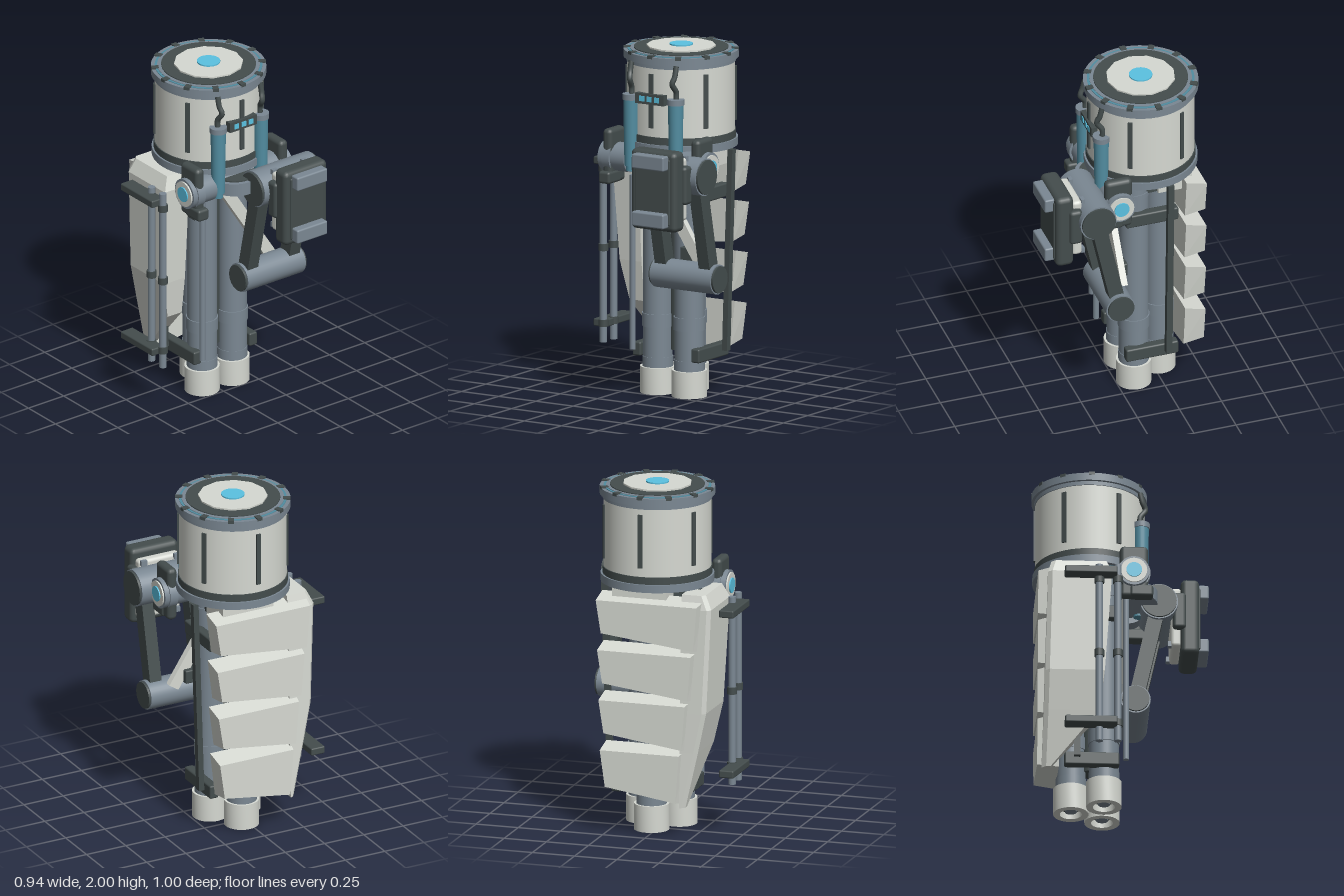
import * as THREE from 'three';
import { toCreasedNormals } from 'three/addons/utils/BufferGeometryUtils.js';
import { RoundedBoxGeometry } from 'three/addons/geometries/RoundedBoxGeometry.js';

const paint = (name, color) => Object.assign(new THREE.MeshStandardMaterial({ color }), { name });
const CX = 0.031, CZ = -0.18; // drum axis

export function createModel() {
  const steel = paint('steel grey', 0x7b8893), dark = paint('charcoal', 0x444d4d);
  const white = paint('armour white', 0xd6d9d2), teal = paint('teal', 0x528da1), cyan = paint('cyan light', 0x5bc2e2);
  const root = new THREE.Group();
  root.name = 'model';

  const add = (name, geo, mat, x = 0, y = 0, z = 0, parent = root) => {
    const m = new THREE.Mesh(geo, mat);
    m.name = name;
    m.position.set(x, y, z);
    parent.add(m);
    return m;
  };
  const group = (name) => {
    const g = new THREE.Group();
    g.name = name;
    root.add(g);
    return g;
  };
  const cyl = (r, h, n = 32, rb = r) => new THREE.CylinderGeometry(r, rb, h, n);
  const cylX = (r, h, n = 32) => cyl(r, h, n).rotateZ(Math.PI / 2);
  // Box given by its two extreme corners
  const box = (name, mat, a, b, round = 0, parent = root) => {
    const s = a.map((v, i) => b[i] - v), c = a.map((v, i) => (v + b[i]) / 2);
    const geo = round ? new RoundedBoxGeometry(...s, 2, round) : new THREE.BoxGeometry(...s);
    return add(name, geo, mat, ...c, parent);
  };
  // Rectangular bar running between two points
  const bar = (name, mat, a, b, w, d, parent = root) => {
    const A = new THREE.Vector3(...a), B = new THREE.Vector3(...b), dir = B.clone().sub(A);
    const m = add(name, new THREE.BoxGeometry(w, dir.length(), d), mat, ...A.clone().add(B).multiplyScalar(0.5).toArray(), parent);
    m.quaternion.setFromUnitVectors(new THREE.Vector3(0, 1, 0), dir.normalize());
    return m;
  };

  // Drum: stacked rings, lid and light
  const drum = group('drum');
  drum.position.set(CX, 0, CZ);
  const layers = [
    ['drumBody', white, 0.304, 1.50, 1.915, 48], ['drumNeck', steel, 0.309, 1.905, 1.93, 48],
    ['rimRing', steel, 0.325, 1.928, 1.972, 64], ['lowerDarkBand', dark, 0.31, 1.47, 1.512, 48],
    ['lowerRing', steel, 0.32, 1.425, 1.47, 64], ['underside', dark, 0.265, 1.417, 1.43, 48],
    ['tealRing', teal, 0.303, 1.965, 1.975, 64], ['innerRing', steel, 0.289, 1.965, 1.978, 64],
    ['lid', dark, 0.267, 1.95, 1.983, 48], ['lidPlate', white, 0.196, 1.97, 1.992, 12],
    ['lidLight', cyan, 0.066, 1.98, 2.0, 32],
  ];
  for (const [n, m, r, y0, y1, seg] of layers) add(n, cyl(r, y1 - y0, seg), m, 0, (y0 + y1) / 2, 0, drum);
  add('lowerTealRing', new THREE.TorusGeometry(0.285, 0.009, 8, 64).rotateX(Math.PI / 2), teal, 0, 1.426, 0, drum);
  for (let i = 0; i < 12; i++) {
    const a = i * Math.PI / 6, s = Math.sin(a), c = Math.cos(a);
    add('rimClip', new THREE.BoxGeometry(0.034, 0.018, 0.042), dark, s * 0.304, 1.971, c * 0.304, drum).rotation.y = a;
    if (i % 2 === 0)
      add('drumStrip', new THREE.BoxGeometry(0.026, 0.31, 0.014), dark, s * 0.306, 1.718, c * 0.306, drum).rotation.y = a;
  }

  // Three thruster columns with hollow feet
  const footProfile = [[0.062, 0], [0.1, 0], [0.1, 0.152], [0.062, 0.152], [0.062, 0]].map(p => new THREE.Vector2(...p));
  const footGeo = toCreasedNormals(new THREE.LatheGeometry(footProfile, 32), 0.6);
  for (const [x, z] of [[CX - 0.106, -0.102], [CX + 0.106, -0.102], [CX, -0.283]]) {
    const leg = group('column');
    leg.position.set(x, 0, z);
    add('foot', footGeo, white, 0, 0, 0, leg);
    add('nozzle', cyl(0.064, 0.02), dark, 0, 0.05, 0, leg);
    add('nozzleCore', cyl(0.034, 0.04), steel, 0, 0.035, 0, leg);
    add('shaft', cyl(0.084, 1.28), steel, 0, 0.78, 0, leg);
    add('ankle', cyl(0.087, 0.06), steel, 0, 0.18, 0, leg);
    add('band', cyl(0.09, 0.075), steel, 0, 0.42, 0, leg);
    add('collar', cyl(0.089, 0.03), steel, 0, 1.295, 0, leg);
  }
  add('core', cyl(0.17, 0.13), dark, CX, 1.365, CZ);
  add('spine', cyl(0.06, 1.1), dark, CX, 0.8, -0.165);

  // Shoulder axle, turntable and mirrored end joints
  add('axle', cylX(0.05, 0.6), steel, CX, 1.36, 0.055);
  add('turntable', cyl(0.15, 0.075, 40), steel, CX, 1.35, 0.055);
  add('turntableTop', cyl(0.125, 0.01, 40), dark, CX, 1.39, 0.055);
  for (const s of [-1, 1]) {
    const joint = group('shoulder');
    joint.position.set(CX, 1.36, 0.055);
    add('jointDrum', cylX(0.082, 0.12), steel, s * 0.24, 0, 0, joint);
    add('jointHub', cylX(0.095, 0.05), steel, s * 0.297, 0, 0, joint);
    add('jointPad', new RoundedBoxGeometry(0.06, 0.315, 0.16, 2, 0.025), dark, s * 0.296, 0.008, 0.002, joint);
    add('lowerPad', new RoundedBoxGeometry(0.075, 0.07, 0.13, 2, 0.015), dark, s * 0.296, -0.11, 0.045, joint);
    add('jointRing', cylX(0.088, 0.035), steel, s * 0.334, 0, 0, joint);
    add('jointCap', cylX(0.074, 0.016), white, s * 0.352, 0, 0, joint);
    add('jointLight', cylX(0.044, 0.012), cyan, s * 0.361, 0, 0, joint);

    // Piston and hose feeding the drum
    const px = CX + s * 0.15, pz = 0.105;
    add('piston', cyl(0.044, 0.4, 24, 0.038), teal, px, 1.53, pz);
    add('pistonRod', cyl(0.028, 0.12, 20), teal, px, 1.36, pz);
    add('pistonCap', cyl(0.049, 0.032, 24), steel, px, 1.725, pz);
    const pts = [[0, 1.73, 0.1], [0, 1.78, 0.1], [-s * 0.008, 1.83, 0.13], [0, 1.87, 0.115], [0, 1.93, 0.1]];
    const curve = new THREE.CatmullRomCurve3(pts.map(([x, y, z]) => new THREE.Vector3(px + x, y, z)));
    add('hose', new THREE.TubeGeometry(curve, 20, 0.016, 8), dark);
  }

  // Indicator panel
  box('indicatorPanel', dark, [-0.065, 1.70, 0.10], [0.125, 1.76, 0.145]);
  for (const x of [-0.02, 0.03, 0.08])
    box('indicatorLight', cyan, [x - 0.016, 1.715, 0.143], [x + 0.016, 1.745, 0.149]);

  // Folding arm
  const arm = group('arm');
  const joints = [['elbow', 1.343, 0.215, 0.107], ['wrist', 0.733, 0.083, 0.085]];
  for (const [n, y, z, r] of joints) {
    add(n, cylX(r, 0.408), steel, 0.25, y, z, arm);
    for (const x of [0.046, 0.454]) add(n + 'Cap', cylX(r - 0.008, 0.024), dark, x, y, z, arm);
  }
  for (const x of [0.1, 0.395]) bar('armLink', dark, [x, 1.343, 0.215], [x, 0.733, 0.083], 0.074, 0.085, arm);

  // Equipment box at the arm front
  const pack = group('equipmentBox');
  box('case', dark, [0.095, 1.05, 0.34], [0.4, 1.51, 0.445], 0.03, pack);
  box('casePanel', dark, [0.13, 1.09, 0.43], [0.365, 1.47, 0.452], 0.008, pack);
  box('backPlate', white, [0.115, 1.1, 0.285], [0.38, 1.46, 0.345], 0.02, pack);
  box('bracket', dark, [0.08, 1.2, 0.295], [0.42, 1.42, 0.37], 0.02, pack);
  for (const y of [1.45, 1.12]) {
    box('frontBlock', steel, [0.14, y - 0.042, 0.44], [0.355, y + 0.042, 0.5], 0.01, pack);
    for (const x of [0.145, 0.355]) box('bolt', steel, [x - 0.018, y - 0.015, 0.268], [x + 0.018, y + 0.015, 0.29], 0, pack);
  }

  // Diagonal brace and its mount
  bar('brace', white, [-0.045, 1.33, 0.02], [0.31, 0.78, 0.02], 0.068, 0.038);
  box('braceMount', dark, [0.16, 0.8, -0.03], [0.25, 0.88, 0.03], 0.008);

  // Mirrored side frames
  for (const s of [-1, 1]) {
    for (const y of [1.16, 0.25])
      add('frameArm', new RoundedBoxGeometry(0.055, 0.08, 0.31, 2, 0.01), dark, CX + s * 0.197, y, -0.175);
    bar('frameBar', dark, [CX + s * 0.25, 0.25, -0.26], [CX + s * 0.287, 1.41, -0.26], 0.033, 0.036);
  }
  add('sideRod', cyl(0.017, 1.0, 16), steel, -0.165, 0.755, 0.018);

  // Twin poles on the right side
  const poles = group('poles');
  for (const z of [-0.145, -0.04]) {
    add('pole', cyl(0.021, 1.09, 20), steel, -0.4, 0.805, z, poles);
    for (const y of [1.26, 0.805, 0.37]) add('poleClamp', cyl(0.028, 0.04, 16), dark, -0.4, y, z, poles);
  }
  for (const y of [1.295, 0.365])
    box('poleBracket', dark, [-0.472, y - 0.022, -0.34], [-0.385, y + 0.022, -0.045], 0.008, poles);

  // Rear armour: four plates, shallower at the left end so wedge-shaped gaps open there
  for (let i = 0; i < 4; i++) {
    const top = 1.385 - i * 0.29, h = i === 3 ? 0.325 : 0.305;
    const xl = 0.297 - i * 0.008, xr = -0.32 + i * 0.035;
    const geo = new THREE.BoxGeometry(1, 1, 1), p = geo.attributes.position;
    for (let k = 0; k < p.count; k++) {
      const left = p.getX(k) > 0, up = p.getY(k) > 0, outer = p.getZ(k) < 0;
      const bottom = top - h + (left ? 0.065 : 0);
      p.setXYZ(k,
        left ? xl - (up ? 0 : 0.03) : xr + (up ? 0 : 0.02) + (outer ? 0.02 : 0),
        up ? top - (outer ? 0.03 : 0) : bottom + (outer ? 0.02 : 0),
        outer ? -0.483 : -0.362);
    }
    const plate = geo.toNonIndexed();
    plate.computeVertexNormals();
    add('rearPlate', plate, white);
  }
  box('rearMount', white, [-0.1, 1.3, -0.42], [0.22, 1.42, -0.22]);

  // Side shield: loft of level sections [y, outer x, back z, front z] with a chamfered back corner
  const levels = [[0.18, -0.22, -0.46, -0.41], [0.5, -0.29, -0.45, -0.14], [0.73, -0.337, -0.445, -0.11],
    [1.33, -0.362, -0.43, -0.07], [1.41, -0.325, -0.41, -0.1]];
  const verts = levels.flatMap(([y, x, b, f]) =>
    [[-0.19, b], [-0.19, f], [x, f], [x, b + 0.025], [x + 0.02, b]].flatMap(([px, z]) => [px, y, z]));
  const faces = [], n = 5, last = (levels.length - 1) * n;
  for (let r = 0; r < last; r += n)
    for (let k = 0; k < n; k++) {
      const a = r + k, b = r + (k + 1) % n;
      faces.push(a, b, b + n, a, b + n, a + n);
    }
  for (let k = 1; k < n - 1; k++) faces.push(0, k + 1, k, last, last + k, last + k + 1);
  let shield = new THREE.BufferGeometry();
  shield.setAttribute('position', new THREE.Float32BufferAttribute(verts, 3));
  shield.setIndex(faces.reverse());
  shield = shield.toNonIndexed();
  shield.computeVertexNormals();
  add('sideShield', shield, white);

  return root;
}
